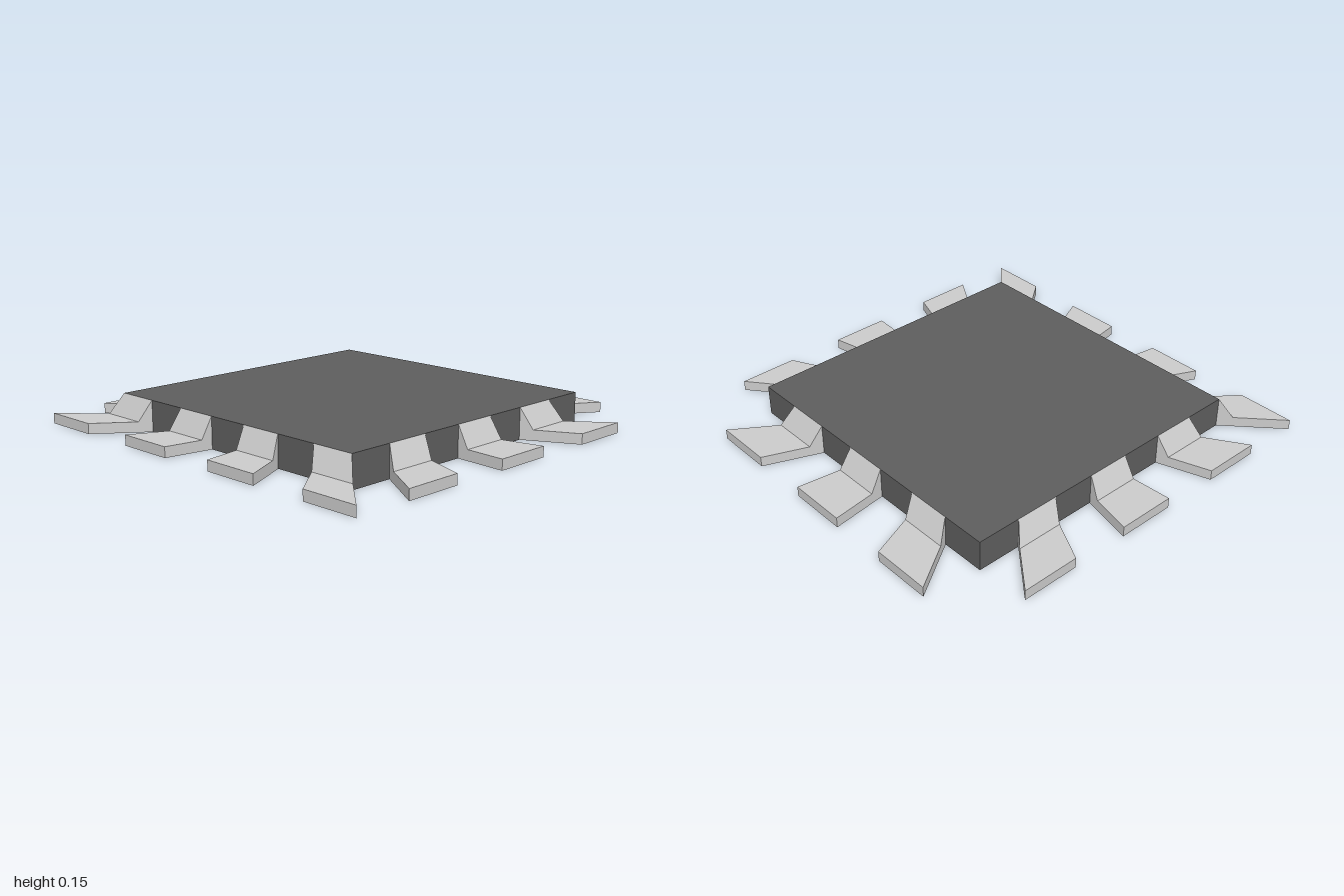
import * as THREE from 'three';

const HALF = 0.75;      // half width of the body
const SHIFT = -0.02;    // the body sits slightly off centre in x
const HEIGHT = 0.15;
const PIN_HEIGHT = 0.05;
const BEND = 0.22;      // where the shoulder of a pin meets its foot
const SLOTS = 7;        // pins and gaps along one side

// One pin: sections at the body, at the bend and at the tip, joined by quads
function pinGeometry(normal, slot) {
  const tangent = new THREE.Vector3(0, 1, 0).cross(normal);
  const corner = (f, edge, y) => {
    const s = -1 + (2 * (slot + edge)) / SLOTS;
    const inner = normal.clone().addScaledVector(tangent, s).multiplyScalar(HALF);
    inner.x += SHIFT;
    const outer = normal.clone().addScaledVector(tangent, s);
    const p = inner.lerp(outer, f);
    p.y = y;
    return p;
  };
  // corners in each section: bottom left, bottom right, top right, top left
  const rings = [[0, HEIGHT], [BEND, PIN_HEIGHT], [1, PIN_HEIGHT]].map(([f, h]) =>
    [corner(f, 0, 0), corner(f, 1, 0), corner(f, 1, h), corner(f, 0, h)]);

  const points = [];
  const quad = (a, b, c, d) => points.push(a, b, c, a, c, d);
  for (let r = 0; r < 2; r++) {
    for (let i = 0; i < 4; i++) {
      const j = (i + 1) % 4;
      quad(rings[r][i], rings[r][j], rings[r + 1][j], rings[r + 1][i]);
    }
  }
  quad(...rings[2]);
  quad(...[...rings[0]].reverse());

  const geometry = new THREE.BufferGeometry().setFromPoints(points);
  geometry.computeVertexNormals();
  return geometry;
}

export function createModel() {
  const model = new THREE.Group();
  model.name = 'chip';

  // Dark square body
  const bodyMaterial = new THREE.MeshStandardMaterial({ color: 0x5e5e5e });
  const body = new THREE.Mesh(new THREE.BoxGeometry(2 * HALF, HEIGHT, 2 * HALF), bodyMaterial);
  body.name = 'body';
  body.position.set(SHIFT, HEIGHT / 2, 0);
  model.add(body);

  // Pins flaring outward: three on most sides, four on the right side
  const pinMaterial = new THREE.MeshStandardMaterial({ color: 0xcccccc, flatShading: true });
  const sides = [
    ['front', 0, 1, 1],
    ['back', 0, -1, 1],
    ['left', 1, 0, 1],
    ['right', -1, 0, 0],
  ];
  for (const [name, x, z, first] of sides) {
    const row = new THREE.Group();
    row.name = `${name}Pins`;
    for (let slot = first; slot < SLOTS; slot += 2) {
      const pin = new THREE.Mesh(pinGeometry(new THREE.Vector3(x, 0, z), slot), pinMaterial);
      pin.name = 'pin';
      row.add(pin);
    }
    model.add(row);
  }
  return model;
}
